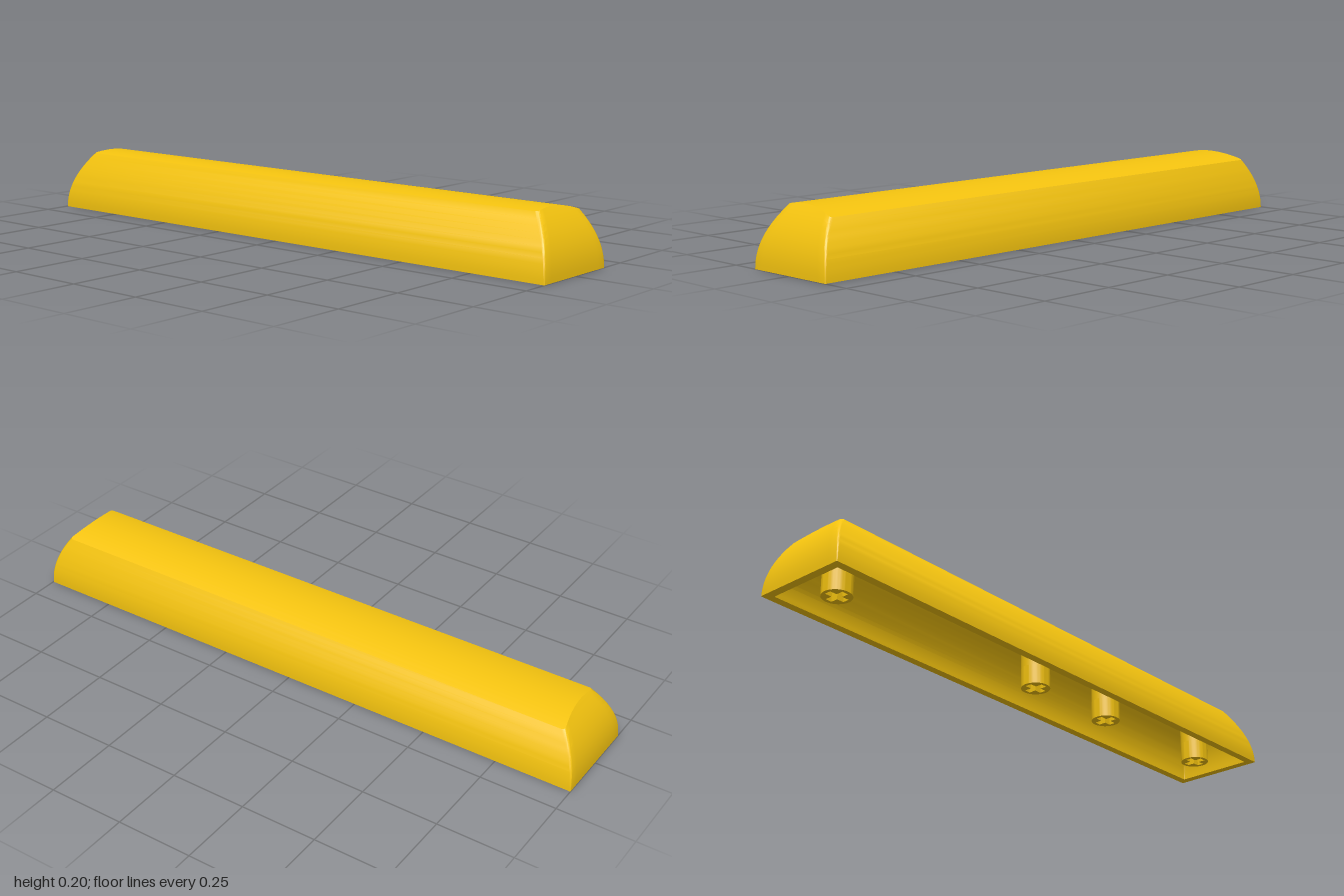
import * as THREE from 'three';
import { toCreasedNormals } from 'three/addons/utils/BufferGeometryUtils.js';

const material = new THREE.MeshStandardMaterial({ color: 0xf5c40f });
const WALL = 0.027;

// Height of the gently domed top at depth z
const topY = (z) => 0.197 - 1.35 * (z - 0.02) ** 2;

// Horizontal loop at height fraction t, inset by d: the +x side front to back, then the -x side back to front
function ring(t, d) {
  const bulge = t ** 2.2;
  const front = 0.16 - 0.07 * bulge - d;
  const back = -0.16 + 0.045 * bulge + d;
  const r = 0.003 + 0.009 * t;
  const corner = 5, straight = 10;
  const side = [];
  const add = (z, pull) => {
    const y = t * (topY(z) - d);
    side.push(new THREE.Vector3(1 - 0.07 * (y / 0.19) ** 2.2 - d - pull, y, z));
  };
  for (let i = 0; i <= corner; i++) {
    const a = (1 - i / corner) * Math.PI / 2;
    add(front - r + r * Math.sin(a), r - r * Math.cos(a));
  }
  for (let i = 1; i < straight; i++) add(THREE.MathUtils.lerp(front - r, back + r, i / straight), 0);
  for (let i = 0; i <= corner; i++) {
    const a = (i / corner) * Math.PI / 2;
    add(back + r - r * Math.sin(a), r - r * Math.cos(a));
  }
  const mirrored = side.map((p) => new THREE.Vector3(-p.x, p.y, p.z)).reverse();
  return [...side, ...mirrored];
}

// Hollow cap: outer skin, inner skin and the flat rim joining them
function shellGeometry() {
  const positions = [];
  const quad = (a, b, c, d, flip) => {
    const order = flip ? [a, c, b, a, d, c] : [a, b, c, a, c, d];
    for (const p of order) positions.push(p.x, p.y, p.z);
  };
  const band = (lower, upper, flip) => {
    for (let i = 0; i < lower.length; i++) {
      const j = (i + 1) % lower.length;
      quad(lower[i], lower[j], upper[j], upper[i], flip);
    }
  };
  const steps = 12;
  for (const [inset, flip] of [[0, false], [WALL, true]]) {
    for (let s = 0; s < steps; s++) band(ring(s / steps, inset), ring((s + 1) / steps, inset), flip);
    const top = ring(1, inset), n = top.length;
    for (let i = 0; i < n / 2 - 1; i++) quad(top[i], top[i + 1], top[n - 2 - i], top[n - 1 - i], flip);
  }
  band(ring(0, 0), ring(0, WALL), true);
  const geometry = new THREE.BufferGeometry();
  geometry.setAttribute('position', new THREE.Float32BufferAttribute(positions, 3));
  return toCreasedNormals(geometry, 0.45);
}

// Round post with a cross-shaped socket in its lower end
function createStem() {
  const stem = new THREE.Group();
  const radius = 0.047, depth = 0.065, a = 0.035, b = 0.011;
  const shape = new THREE.Shape().absarc(0, 0, radius, 0, Math.PI * 2, false);
  const cross = [[a, b], [b, b], [b, a], [-b, a], [-b, b], [-a, b], [-a, -b], [-b, -b], [-b, -a], [b, -a], [b, -b], [a, -b]];
  shape.holes.push(new THREE.Path(cross.map(([x, y]) => new THREE.Vector2(x, y))));
  const extruded = new THREE.ExtrudeGeometry(shape, { depth, bevelEnabled: false, curveSegments: 32 });
  extruded.rotateX(-Math.PI / 2);
  const socket = new THREE.Mesh(toCreasedNormals(extruded, 0.5), material);
  socket.name = 'stemSocket';
  const height = 0.178 - depth;
  const post = new THREE.Mesh(new THREE.CylinderGeometry(radius, radius, height, 32), material);
  post.name = 'stemPost';
  post.position.y = depth + height / 2;
  stem.add(socket, post);
  return stem;
}

export function createModel() {
  const model = new THREE.Group();
  model.name = 'longKeycap';

  const shell = new THREE.Mesh(shellGeometry(), material);
  shell.name = 'capShell';
  model.add(shell);

  // Mounting stems under the cap
  [0.855, 0.355, 0, -0.855].forEach((x, i) => {
    const stem = createStem();
    stem.name = `mountingStem${i + 1}`;
    stem.position.x = x;
    model.add(stem);
  });
  return model;
}
